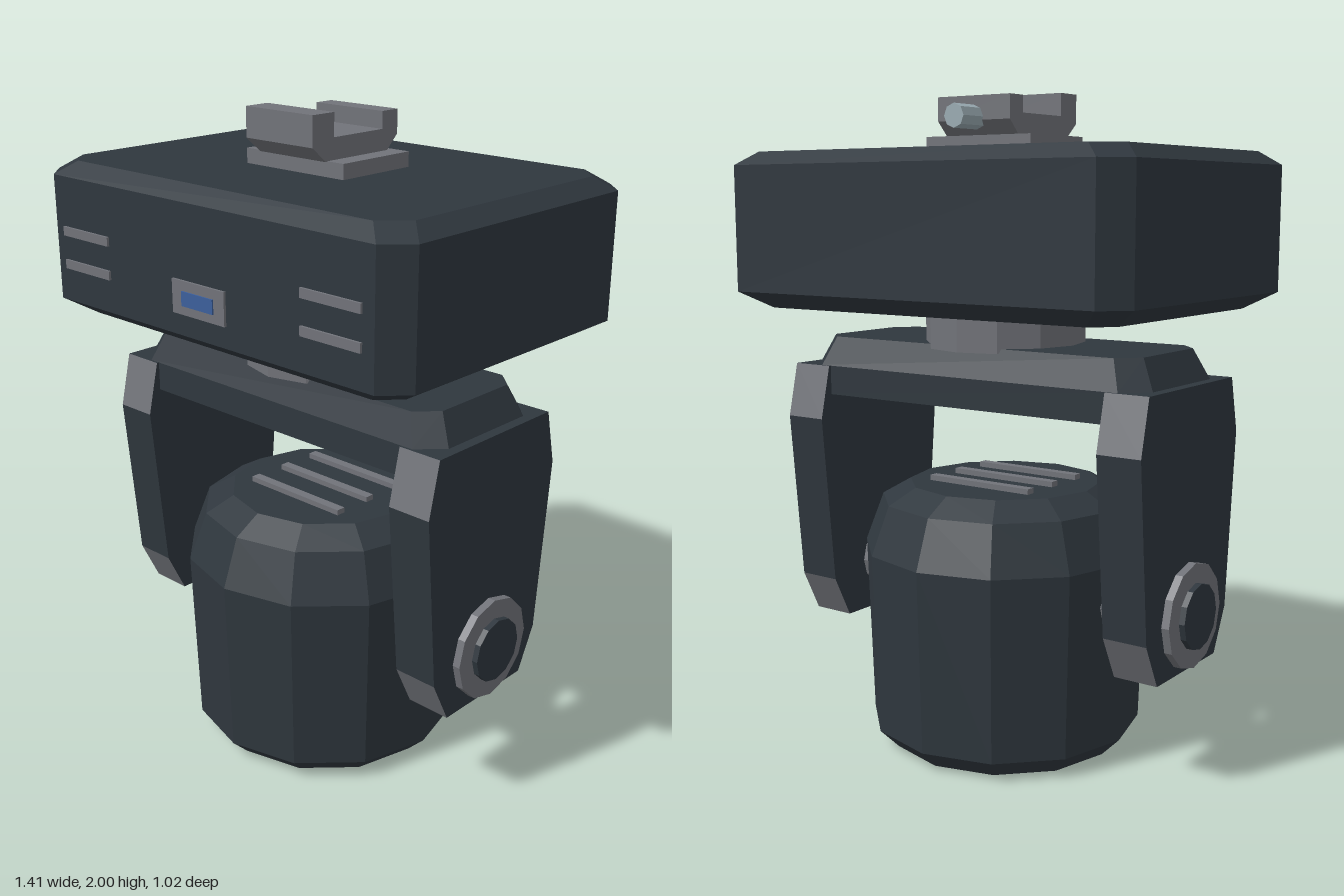
import * as THREE from 'three';

const material = (name, color) => {
  const m = new THREE.MeshStandardMaterial({ color });
  m.name = name;
  return m;
};

// Faceted normals
function flat(geo) {
  const g = geo.index ? geo.toNonIndexed() : geo;
  g.computeVertexNormals();
  return g;
}

// Skin closed rings of points, cap both ends; sideMat picks a material index per side
function loft(rings, sideMat = () => 0) {
  const pos = [], geo = new THREE.BufferGeometry(), n = rings[0].length;
  const tri = (...pts) => pts.forEach(p => pos.push(...p));
  for (let s = 0; s < n; s++) {
    const start = pos.length / 3, t = (s + 1) % n;
    for (let i = 0; i < rings.length - 1; i++) {
      const lo = rings[i], hi = rings[i + 1];
      tri(lo[s], lo[t], hi[t]);
      tri(lo[s], hi[t], hi[s]);
    }
    geo.addGroup(start, pos.length / 3 - start, sideMat(s));
  }
  const start = pos.length / 3, first = rings[0], last = rings[rings.length - 1];
  for (let s = 1; s < n - 1; s++) {
    tri(first[0], first[s + 1], first[s]);
    tri(last[0], last[s], last[s + 1]);
  }
  geo.addGroup(start, pos.length / 3 - start, 0);
  geo.setAttribute('position', new THREE.Float32BufferAttribute(pos, 3));
  geo.computeVertexNormals();
  return geo;
}

// Rectangle with cut corners at height y
const cutRect = ([y, hx, hz, c]) => [
  [hx, hz - c], [hx, c - hz], [hx - c, -hz], [c - hx, -hz],
  [-hx, c - hz], [-hx, hz - c], [c - hx, hz], [hx - c, hz],
].map(([x, z]) => [x, y, z]);

export function createModel() {
  const body = material('charcoal body', 0x2f373e);
  const grey = material('grey trim', 0x717379);
  const blue = material('blue glass', 0x3c5f9c);
  const pale = material('pale metal', 0x9aabb2);

  const model = new THREE.Group();
  model.name = 'movingHeadLight';
  const add = (name, geo, mat, x = 0, y = 0, z = 0) => {
    const mesh = new THREE.Mesh(geo, mat);
    mesh.name = name;
    mesh.position.set(x, y, z);
    model.add(mesh);
    return mesh;
  };
  const box = (name, mat, w, h, d, x, y, z) => add(name, new THREE.BoxGeometry(w, h, d), mat, x, y, z);
  const cyl = (r, h, sides = 12) => flat(new THREE.CylinderGeometry(r, r, h, sides));
  const lathe = pts => flat(new THREE.LatheGeometry(pts.map(p => new THREE.Vector2(...p)), 12));

  // Base housing
  add('baseHousing', loft([
    [1.36, 0.62, 0.425, 0.06], [1.41, 0.705, 0.503, 0.072],
    [1.786, 0.705, 0.503, 0.072], [1.826, 0.65, 0.452, 0.072],
  ].map(cutRect)), body, 0, 0, -0.004);

  // Front vents and display
  for (const side of [-1, 1]) {
    for (const y of [1.624, 1.524]) box('frontVent', grey, 0.207, 0.027, 0.009, side * 0.49, y, 0.502);
  }
  box('displayFrame', grey, 0.21, 0.097, 0.009, 0, 1.522, 0.502);
  box('displayScreen', blue, 0.126, 0.042, 0.006, 0, 1.521, 0.508);

  // Mounting plate, clamp and bolt
  box('mountPlate', grey, 0.38, 0.046, 0.275, 0, 1.847, -0.005);
  const profile = new THREE.Shape([
    [0.138, 1.868], [0.19, 1.912], [0.19, 2], [0.105, 2], [0.105, 1.932],
    [-0.095, 1.932], [-0.095, 1.982], [-0.16, 1.982], [-0.16, 1.912], [-0.115, 1.868],
  ].map(p => new THREE.Vector2(...p)));
  const clamp = new THREE.ExtrudeGeometry(profile, { depth: 0.26, bevelEnabled: false });
  clamp.rotateY(-Math.PI / 2);
  add('mountClamp', flat(clamp), grey, 0.13);
  add('clampBolt', cyl(0.035, 0.11, 8), pale, 0, 1.921, -0.198).rotation.x = Math.PI / 2;

  // Pan bearing and yoke crossbar
  add('panBearing', cyl(0.246, 0.13), grey, 0, 1.307, 0);
  add('yokeCrossbar', loft([
    [1.075, 0.615, 0.24, 0.07], [1.166, 0.615, 0.24, 0.07], [1.256, 0.57, 0.205, 0.06],
  ].map(cutRect)), body);

  // Yoke arms with grey corner facets, and tilt pivots
  const outline = [
    [1.166, -0.248], [1.166, 0.248], [1.0, 0.287], [0.466, 0.24],
    [0.333, 0.175], [0.333, -0.175], [0.466, -0.24], [1.0, -0.287],
  ];
  const facets = [1, 3, 5, 7];
  const arm = loft([-0.07, 0.07].map(x => outline.map(([y, z]) => [x, y, z])),
    s => (facets.includes(s) ? 1 : 0));
  for (const side of [-1, 1]) {
    add('yokeArm', arm, [body, grey], side * 0.578);
    const pivot = (name, r, from, to, mat) => {
      add(name, cyl(r, to - from), mat, side * (from + to) / 2, 0.5, 0).rotation.z = Math.PI / 2;
    };
    pivot('tiltAxle', 0.1, 0.4, 0.52, grey);
    pivot('pivotRing', 0.157, 0.64, 0.672, grey);
    pivot('pivotCap', 0.098, 0.66, 0.69, body);
  }

  // Lamp head with lens underneath
  add('headShell', lathe([[0.365, 0], [0.425, 0.06], [0.444, 0.62], [0.388, 0.77], [0.3, 0.82], [0, 0.82]]), body);
  add('lensSurround', lathe([[0.27, 0.02], [0.27, 0], [0.365, 0]]), blue);
  add('lens', lathe([[0, 0.01], [0.255, 0.01], [0.27, 0.02]]), pale);
  for (const z of [-0.13, 0, 0.13]) box('headVent', grey, 0.37, 0.025, 0.03, 0, 0.824, z);

  return model;
}
